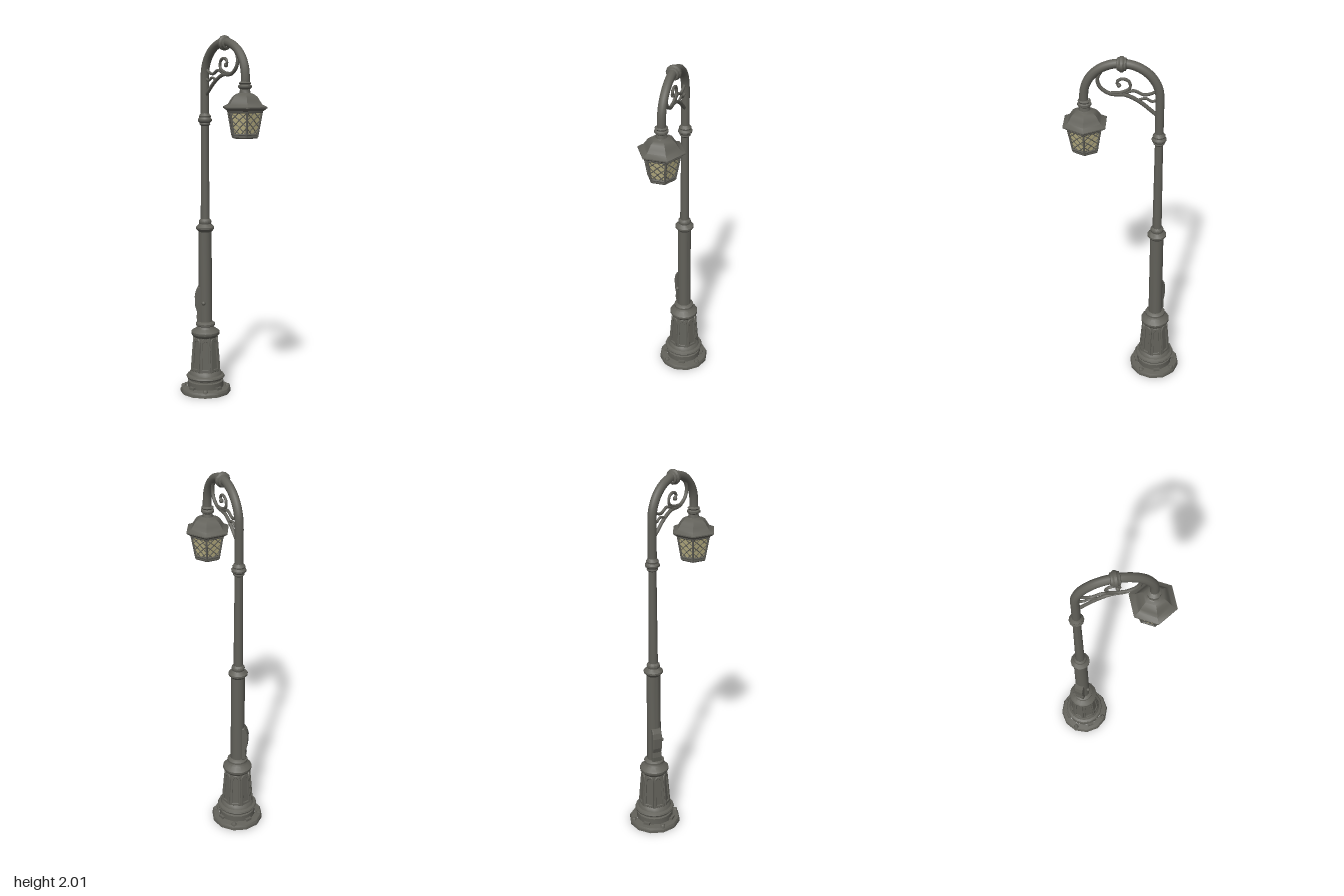
import * as THREE from 'three';
import { mergeGeometries, toCreasedNormals } from 'three/addons/utils/BufferGeometryUtils.js';

const iron = new THREE.MeshStandardMaterial({ color: 0x62615a });
iron.name = 'dark iron';
const glass = new THREE.MeshStandardMaterial({ color: 0xb9b083, side: THREE.DoubleSide });
glass.name = 'pale glass';

const V = (x, y, z = 0) => new THREE.Vector3(x, y, z);

function add(parent, name, geometry, material = iron) {
  const mesh = new THREE.Mesh(geometry, material);
  mesh.name = name;
  parent.add(mesh);
  return mesh;
}

// Turned part from [radius, height] pairs listed bottom to top
function turned(points, sides, crease = 0.65) {
  const profile = points.map(([r, y]) => new THREE.Vector2(r, y));
  return toCreasedNormals(new THREE.LatheGeometry(profile, sides), crease);
}

// Straight rod between two points
function rod(a, b, r, sides = 5) {
  const d = b.clone().sub(a);
  const g = new THREE.CylinderGeometry(r, r, d.length(), sides);
  g.applyQuaternion(new THREE.Quaternion().setFromUnitVectors(V(0, 1, 0), d.normalize()));
  return g.translate((a.x + b.x) / 2, (a.y + b.y) / 2, (a.z + b.z) / 2);
}

// Arched outline of a pedestal panel
function archPath(path, w, h) {
  path.moveTo(-w, 0);
  path.lineTo(w, 0);
  path.lineTo(w * 0.85, h - w);
  path.quadraticCurveTo(w * 0.8, h, 0, h);
  path.quadraticCurveTo(-w * 0.8, h, -w * 0.85, h - w);
  path.lineTo(-w, 0);
  return path;
}

function buildPedestal() {
  const g = new THREE.Group();
  g.name = 'pedestal';
  add(g, 'basePlate', turned([[0, 0], [0.144, 0], [0.144, 0.016], [0.138, 0.027], [0.105, 0.033]], 12));
  add(g, 'baseMoulding', turned([[0.102, 0.028], [0.102, 0.066], [0.092, 0.07], [0.092, 0.078],
    [0.107, 0.084], [0.111, 0.092], [0.107, 0.1], [0.094, 0.106], [0.088, 0.122], [0.078, 0.13]], 16));
  // Anchor bolts and small feet on the plate
  for (let i = 0; i < 4; i++) {
    const a = i * Math.PI / 2;
    const bolt = add(g, 'anchorBolt', turned([[0.014, 0.015], [0.014, 0.036], [0.009, 0.043], [0, 0.045]], 8));
    bolt.position.set(Math.sin(a) * 0.126, 0, Math.cos(a) * 0.126);
    const foot = add(g, 'baseFoot', new THREE.BoxGeometry(0.035, 0.02, 0.02));
    foot.position.set(Math.sin(a + 0.785) * 0.105, 0.034, Math.cos(a + 0.785) * 0.105);
    foot.rotation.y = a + 0.785;
  }
  // Eight-sided tapered body with framed panels
  const body = add(g, 'pedestalBody',
    toCreasedNormals(new THREE.CylinderGeometry(0.067, 0.085, 0.22, 8), 0.4));
  body.position.y = 0.225;
  body.rotation.y = Math.PI / 8;
  const frame = archPath(new THREE.Shape(), 0.029, 0.19);
  frame.holes.push(archPath(new THREE.Path(), 0.019, 0.166));
  frame.holes[0].curves.forEach(c => ['v0', 'v1', 'v2'].forEach(k => c[k] && (c[k].y += 0.012)));
  const frameGeo = new THREE.ExtrudeGeometry(frame, {
    depth: 0.006, curveSegments: 5, bevelEnabled: true, bevelSize: 0.002, bevelThickness: 0.002, bevelSegments: 1 });
  frameGeo.rotateX(-0.0755).translate(0, 0.132, 0.0765);
  for (let i = 0; i < 8; i++) add(g, 'panelFrame', frameGeo).rotation.y = i * Math.PI / 4;
  add(g, 'pedestalCap', turned([[0.064, 0.322], [0.074, 0.332], [0.081, 0.342], [0.081, 0.354],
    [0.073, 0.363], [0.053, 0.374], [0.047, 0.386], [0.056, 0.392], [0.056, 0.402],
    [0.046, 0.41], [0.036, 0.414]], 14));
  return g;
}

function buildPost() {
  const g = new THREE.Group();
  g.name = 'post';
  add(g, 'lowerShaft', turned([[0.039, 0.4], [0.037, 0.94]], 14));
  add(g, 'middleCollar', turned([[0.037, 0.93], [0.045, 0.94], [0.052, 0.947], [0.052, 0.957], [0.042, 0.966],
    [0.033, 0.975], [0.036, 0.985], [0.034, 0.995], [0.023, 1.005]], 14));
  add(g, 'upperShaft', turned([[0.025, 0.99], [0.021, 1.56]], 12));
  add(g, 'upperCollar', turned([[0.022, 1.522], [0.03, 1.53], [0.028, 1.538], [0.038, 1.548], [0.039, 1.557],
    [0.032, 1.568], [0.034, 1.576], [0.027, 1.584], [0.022, 1.592]], 12));
  // Service hatch on the right side, thicker towards its top
  const outline = new THREE.Shape([[0, 0.41], [-0.044, 0.415], [-0.047, 0.44], [-0.043, 0.47], [-0.054, 0.5],
    [-0.057, 0.56], [-0.05, 0.59], [-0.038, 0.612], [0, 0.615]].map(p => new THREE.Vector2(...p)));
  const hatch = new THREE.ExtrudeGeometry(outline, { depth: 0.04, bevelEnabled: true,
    bevelSize: 0.003, bevelThickness: 0.006, bevelSegments: 2 });
  add(g, 'serviceHatch', hatch.translate(0, 0, -0.02));
  const knob = add(g, 'frontKnob', new THREE.SphereGeometry(0.011, 8, 6));
  knob.position.set(-0.01, 0.525, 0.042);
  return g;
}

// Arm in its own plane: the post is at x = 0, the lantern at x = 0.38
const SPAN = 0.382;
function buildArm() {
  const g = new THREE.Group();
  g.name = 'arm';
  const path = [V(0, 1.55), V(0, 1.64), V(0, 1.72)];
  for (let i = 0; i <= 12; i++) {
    const a = Math.PI * (1 - i / 12);
    path.push(V(SPAN / 2 * (1 + Math.cos(a)), 1.79 + 0.182 * Math.sin(a)));
  }
  path.push(V(SPAN, 1.74));
  add(g, 'archedPipe', new THREE.TubeGeometry(new THREE.CatmullRomCurve3(path), 48, 0.023, 10));
  const ring = turned([[0.022, -0.026], [0.032, -0.022], [0.033, -0.014], [0.04, -0.006], [0.04, 0.006],
    [0.033, 0.014], [0.032, 0.022], [0.022, 0.026]], 12).rotateZ(Math.PI / 2);
  add(g, 'crownRing', ring).position.set(SPAN / 2, 1.968, 0);

  // Wrought scrolls filling the arch
  const scrolls = [
    [0.01, [[0.01, 1.69], [0.045, 1.72], [0.1, 1.765], [0.17, 1.8], [0.25, 1.805], [0.3, 1.84],
      [0.312, 1.885], [0.29, 1.93], [0.26, 1.955]]],
    [0.008, [[0.25, 1.808], [0.19, 1.815], [0.15, 1.84], [0.155, 1.875], [0.19, 1.888],
      [0.215, 1.87], [0.205, 1.852]]],
    [0.008, [[0.19, 1.805], [0.13, 1.825], [0.08, 1.805], [0.04, 1.815], [0.01, 1.835]]],
    [0.007, [[0.11, 1.775], [0.07, 1.785], [0.04, 1.77], [0.01, 1.78]]],
  ];
  for (const [r, pts] of scrolls) {
    const curve = new THREE.CatmullRomCurve3(pts.map(p => V(...p)));
    add(g, 'scroll', new THREE.TubeGeometry(curve, 28, r, 6));
    const [x, y] = pts[pts.length - 1];
    add(g, 'scrollTip', new THREE.SphereGeometry(r * 1.5, 8, 6)).position.set(x, y, 0);
  }
  return g;
}

function buildLantern() {
  const g = new THREE.Group();
  g.name = 'lantern';
  add(g, 'neck', turned([[0.022, 1.685], [0.046, 1.69], [0.046, 1.7], [0.03, 1.71], [0.026, 1.728], [0.036, 1.736],
    [0.036, 1.746], [0.028, 1.752], [0.034, 1.76], [0.022, 1.768]], 10));
  add(g, 'roof', turned([[0, 1.615], [0.1, 1.615], [0.125, 1.632], [0.125, 1.638], [0.096, 1.652],
    [0.084, 1.67], [0.07, 1.69], [0.052, 1.702], [0.03, 1.71]], 6, 0.6));
  add(g, 'floor', turned([[0, 1.475], [0.069, 1.475], [0.074, 1.481], [0.074, 1.492], [0, 1.492]], 6, 0.4));
  const Y0 = 1.485, Y1 = 1.62, R0 = 0.07, R1 = 0.096;
  add(g, 'panes', new THREE.CylinderGeometry(R1 - 0.002, R0 - 0.002, Y1 - Y0, 6, 1, true)
    .toNonIndexed().translate(0, (Y0 + Y1) / 2, 0), glass).geometry.computeVertexNormals();

  const bars = [], lattice = [];
  const corner = (i, v) => {
    const a = i * Math.PI / 3, r = R0 + (R1 - R0) * v;
    return V(Math.sin(a) * r, Y0 + (Y1 - Y0) * v, Math.cos(a) * r);
  };
  for (let i = 0; i < 6; i++) {
    const at = (u, v) => corner(i, v).lerp(corner(i + 1, v), u);
    bars.push(rod(at(0, 0), at(0, 1), 0.006, 6));
    bars.push(rod(at(0, 0.08), at(1, 0.08), 0.006), rod(at(0, 0.95), at(1, 0.95), 0.007));
    // Diamond lattice over each pane
    for (let row = 0; row < 3; row++) {
      const v0 = 0.06 + row * 0.29, v1 = v0 + 0.29;
      for (const u of [0, 0.5]) {
        lattice.push(rod(at(u, v0), at(u + 0.5, v1), 0.0026, 4));
        lattice.push(rod(at(u + 0.5, v0), at(u, v1), 0.0026, 4));
      }
    }
  }
  add(g, 'lanternFrame', mergeGeometries(bars));
  add(g, 'lattice', mergeGeometries(lattice));
  return g;
}

export function createModel() {
  const model = new THREE.Group();
  model.name = 'streetLamp';
  const column = new THREE.Group();
  column.name = 'column';
  column.position.set(-0.092, 0, -0.15);
  const arm = buildArm();
  arm.rotation.y = -Math.atan2(0.317, 0.213);
  column.add(buildPedestal(), buildPost(), arm);
  const lantern = buildLantern();
  lantern.position.set(0.119, 0, 0.166);
  lantern.rotation.y = 0.1;
  model.add(column, lantern);
  return model;
}
